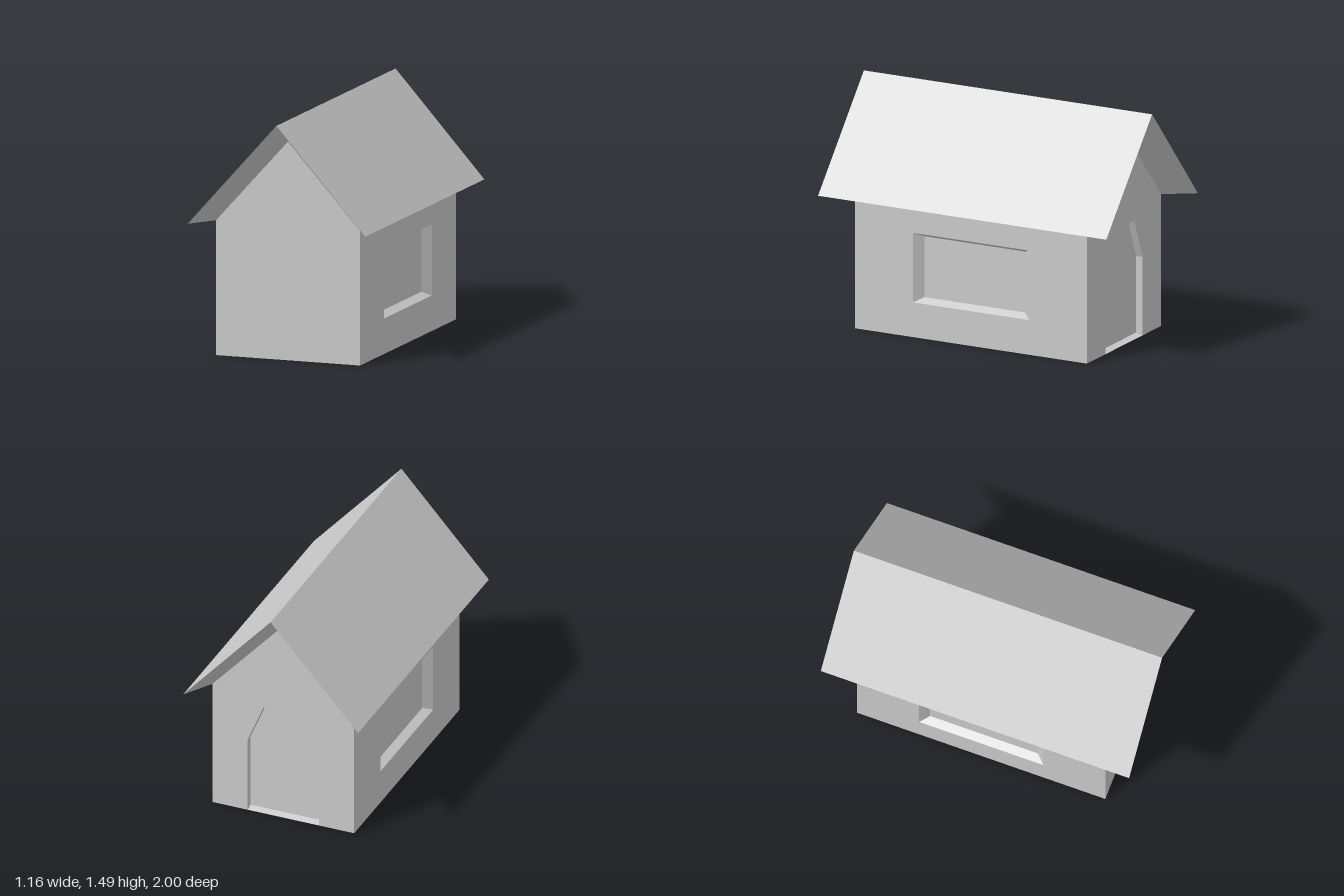
import * as THREE from 'three';

const material = new THREE.MeshStandardMaterial({ color: 0xcccccc, flatShading: true });

const W = 0.47, L = 0.805, WALL_TOP = 0.835, GABLE_TOP = 1.355; // walls
const EAVE_X = 0.58, EAVE_Y = 0.84, RIDGE = 1.487, ROOF_L = 1;  // roof

function mesh(name, geometry) {
  const m = new THREE.Mesh(geometry, material);
  m.name = name;
  return m;
}

// Flat four-cornered faces, corners counter-clockwise seen from outside
function quads(list) {
  const pos = [];
  for (const [a, b, c, d] of list) pos.push(...a, ...b, ...c, ...a, ...c, ...d);
  const g = new THREE.BufferGeometry();
  g.setAttribute('position', new THREE.Float32BufferAttribute(pos, 3));
  g.computeVertexNormals();
  return g;
}

const toShape = pts => new THREE.Shape(pts.map(([x, y]) => new THREE.Vector2(x, y)));

// Recess facing +z: slanted reveal from outer to inner outline, closed by a panel
function recess(name, outer, inner, depth) {
  const group = new THREE.Group();
  group.name = name;
  const reveal = outer.map((p, i) => {
    const j = (i + 1) % outer.length;
    return [[...p, 0], [...outer[j], 0], [...inner[j], -depth], [...inner[i], -depth]];
  });
  const panel = mesh(name + 'Panel', new THREE.ShapeGeometry(toShape(inner)));
  panel.position.z = -depth;
  group.add(mesh(name + 'Reveal', quads(reveal)), panel);
  return group;
}

// Long wall with a recessed window
function sideWall(side) {
  const group = new THREE.Group();
  group.name = side > 0 ? 'leftWall' : 'rightWall';
  const rect = (x, y0, y1) => [[-x, y0], [x, y0], [x, y1], [-x, y1]];
  const opening = rect(0.402, 0.22, 0.66);
  const wall = toShape(rect(L, 0, WALL_TOP));
  wall.holes.push(toShape(opening));
  group.add(
    mesh('wallFace', new THREE.ShapeGeometry(wall)),
    recess('window', opening, rect(0.35, 0.248, 0.634), 0.05)
  );
  group.rotation.y = side * Math.PI / 2;
  group.position.x = side * W;
  return group;
}

const gableTop = [[W, 0], [W, WALL_TOP], [0, GABLE_TOP], [-W, WALL_TOP], [-W, 0]];

// Back gable, notched for the recessed doorway
function backWall() {
  const group = new THREE.Group();
  group.name = 'backWall';
  const arch = (x, sill) => [[-x, sill], [x, sill], [x, 0.496], [0.13, 0.75], [-0.13, 0.75], [-x, 0.496]];
  const door = arch(0.236, 0);
  const notch = [door[0], door[5], door[4], door[3], door[2], door[1]];
  group.add(
    mesh('wallFace', new THREE.ShapeGeometry(toShape([...gableTop, ...notch]))),
    recess('door', door, arch(0.236, 0.012), 0.045)
  );
  group.rotation.y = Math.PI;
  group.position.z = -L;
  return group;
}

// One roof slope with its undersides tapering in to the walls
function roofSlope(name) {
  const eave = s => [EAVE_X, EAVE_Y, s * ROOF_L], ridge = s => [0, RIDGE, s * ROOF_L];
  const wall = s => [W, WALL_TOP, s * L], gable = s => [0, GABLE_TOP, s * L];
  return mesh(name, quads([
    [ridge(1), eave(1), eave(-1), ridge(-1)],
    [eave(1), ridge(1), gable(1), wall(1)],
    [wall(-1), gable(-1), ridge(-1), eave(-1)],
    [eave(1), wall(1), wall(-1), eave(-1)]
  ]));
}

export function createModel() {
  const house = new THREE.Group();
  house.name = 'house';

  const front = mesh('frontWall', new THREE.ShapeGeometry(toShape(gableTop)));
  front.position.z = L;

  const floor = mesh('floor', new THREE.PlaneGeometry(2 * W, 2 * L));
  floor.rotation.x = Math.PI / 2;

  const rightRoof = roofSlope('rightRoof');
  rightRoof.rotation.y = Math.PI;

  house.add(front, backWall(), sideWall(1), sideWall(-1), floor, roofSlope('leftRoof'), rightRoof);
  return house;
}
